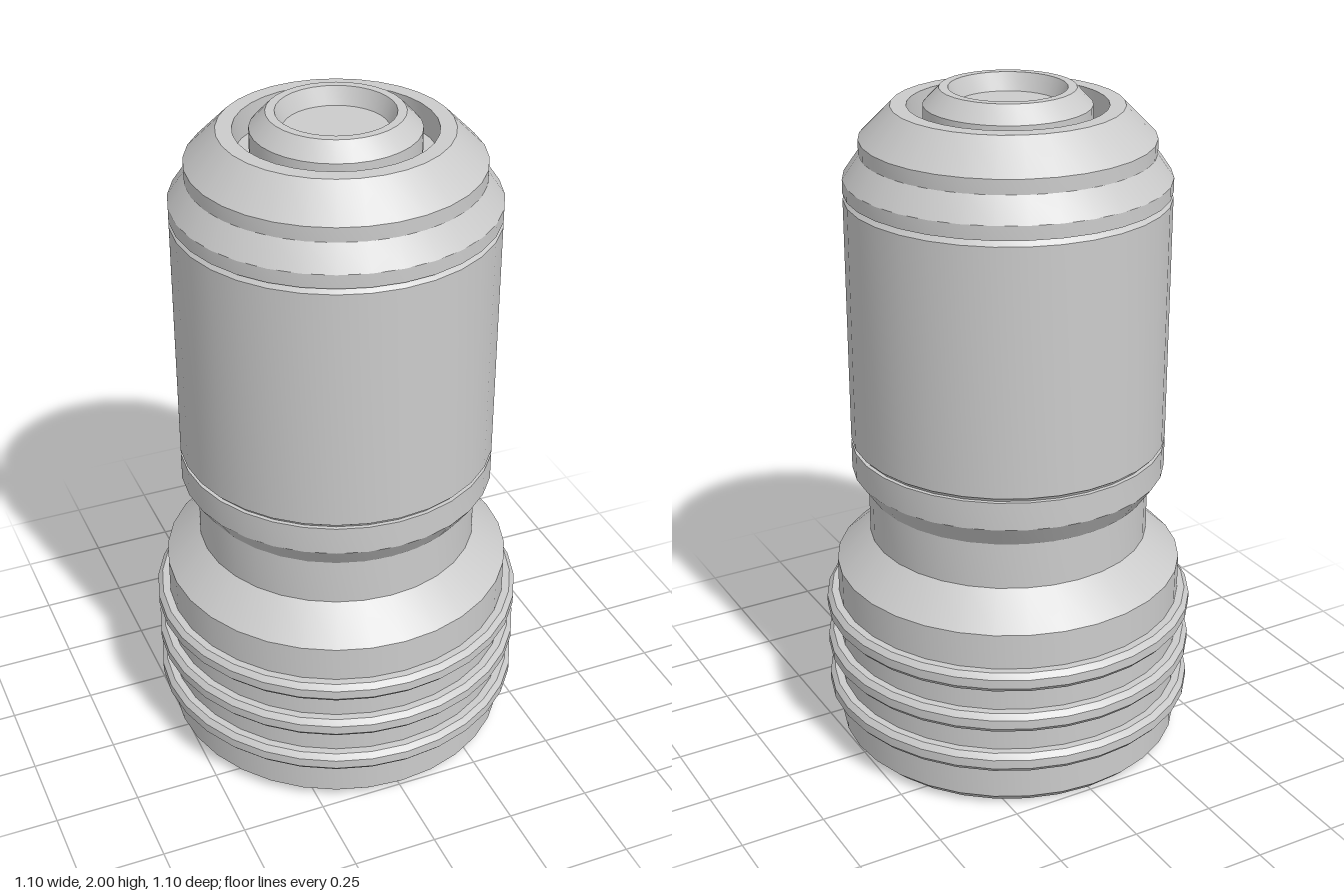
import * as THREE from 'three';
import { toCreasedNormals } from 'three/addons/utils/BufferGeometryUtils.js';

const SIDES = 32;

export function createModel() {
  const group = new THREE.Group();
  const material = new THREE.MeshStandardMaterial({ color: 0xcccccc });

  // Turned part: [radius, height] profile running from the bottom upwards
  function turned(name, profile) {
    const points = profile.map(([r, y]) => new THREE.Vector2(r, y));
    const geometry = toCreasedNormals(new THREE.LatheGeometry(points, SIDES), 0.35);
    const mesh = new THREE.Mesh(geometry, material);
    mesh.name = name;
    group.add(mesh);
    return mesh;
  }

  // Base with chamfered foot, sloping shoulder and neck
  turned('base', [
    [0, 0], [0.485, 0], [0.516, 0.03], [0.516, 0.57], [0.415, 0.665], [0.415, 0.82],
  ]);

  // Three chamfered grip rings around the base
  for (let i = 0; i < 3; i++) {
    const ring = turned('gripRing' + (i + 1), [
      [0.51, -0.03], [0.538, -0.03], [0.552, -0.014],
      [0.552, 0.014], [0.538, 0.03], [0.51, 0.03],
    ]);
    ring.position.y = 0.164 + i * 0.134;
  }

  // Flared collar under the barrel
  turned('lowerCollar', [
    [0.41, 0.805], [0.415, 0.805], [0.462, 0.873], [0.462, 0.957], [0.45, 0.957],
  ]);

  // Barrel, set off by a thin groove at each end
  turned('barrel', [
    [0.45, 0.957], [0.453, 0.963], [0.462, 0.97],
    [0.462, 1.695], [0.453, 1.705], [0.45, 1.71],
  ]);

  // Stepped cap with a channel around the raised nozzle
  turned('cap', [
    [0.45, 1.71], [0.462, 1.712], [0.462, 1.752], [0.415, 1.82], [0.415, 1.862],
    [0.325, 1.953], [0.28, 1.953], [0.28, 1.87], [0.235, 1.87],
  ]);

  // Nozzle with a conical lip and recessed floor
  turned('nozzle', [
    [0.235, 1.87], [0.235, 1.953], [0.19, 2], [0.165, 2], [0.145, 1.95], [0, 1.95],
  ]);

  return group;
}
